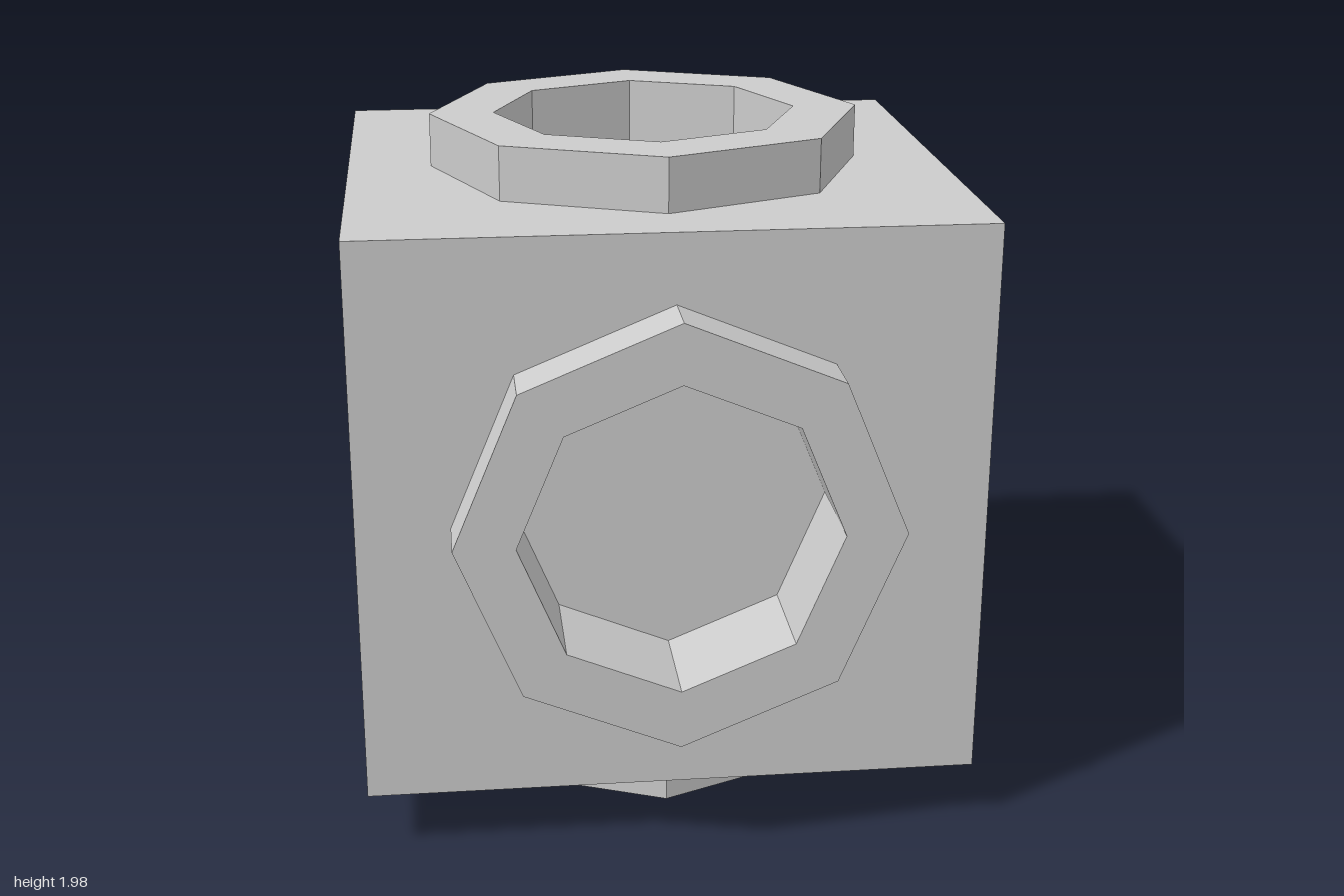
import * as THREE from 'three';

const MID = 0.998;                       // height of the block's centre
const HX = 0.885, HY = 0.822, HZ = 0.836; // half sizes of the block
const INNER = 0.45;                      // socket opening radius
const material = new THREE.MeshStandardMaterial({ color: 0xcccccc, flatShading: true });

function addMesh(parent, name, geometry) {
  const mesh = new THREE.Mesh(geometry, material);
  mesh.name = name;
  parent.add(mesh);
  return mesh;
}

// Flat rectangular wall with an octagonal opening, facing +z
function openWall(w, h) {
  const shape = new THREE.Shape([
    new THREE.Vector2(-w, -h), new THREE.Vector2(w, -h),
    new THREE.Vector2(w, h), new THREE.Vector2(-w, h),
  ]);
  const corners = [];
  for (let i = 0; i < 8; i++) {
    const a = i * Math.PI / 4;
    corners.push(new THREE.Vector2(INNER * Math.cos(a), INNER * Math.sin(a)));
  }
  shape.holes.push(new THREE.Path(corners));
  return new THREE.ShapeGeometry(shape);
}

// Octagonal collar and the recess sunk into the block, facing +z
function socketGeometry(outer, height) {
  const profile = [
    [outer, 0], [outer, height], [INNER, height], [INNER, -0.16], [0, -0.16],
  ].map(([r, y]) => new THREE.Vector2(r, y));
  return new THREE.LatheGeometry(profile, 8).rotateX(Math.PI / 2);
}

export function createModel() {
  const model = new THREE.Group();
  model.name = 'socketBlock';

  // Four pierced sides: rotation about x, wall half height, distance, collar radius and height
  const sides = [
    ['front', 0, HY, HZ, 0.622, 0.164],
    ['top', -Math.PI / 2, HZ, HY, 0.64, 0.157],
    ['back', Math.PI, HY, HZ, 0.628, 0.164],
    ['bottom', Math.PI / 2, HZ, HY, 0.64, 0.176],
  ];
  for (const [name, turn, half, distance, outer, height] of sides) {
    const side = new THREE.Group();
    side.name = name + 'Side';
    side.position.y = MID;
    side.rotation.x = turn;
    addMesh(side, name + 'Wall', openWall(HX, half)).position.z = distance;
    addMesh(side, name + 'Socket', socketGeometry(outer, height)).position.z = distance;
    model.add(side);
  }

  // Plain walls closing the left and right ends
  for (const s of [1, -1]) {
    const wall = addMesh(model, s > 0 ? 'leftWall' : 'rightWall', new THREE.PlaneGeometry(2 * HZ, 2 * HY));
    wall.position.set(s * HX, MID, 0);
    wall.rotation.y = s * Math.PI / 2;
  }
  return model;
}
